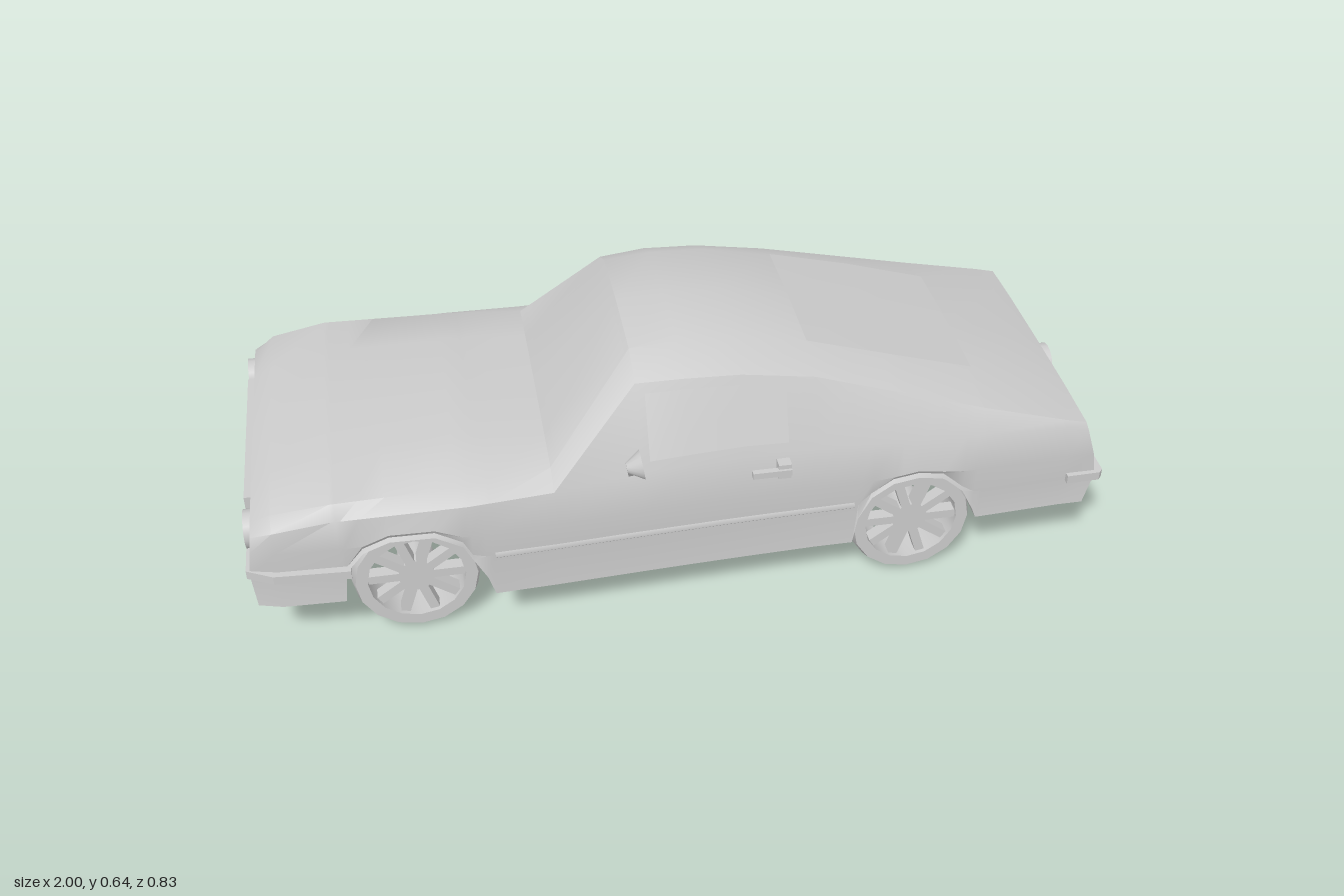
import * as THREE from 'three';
import { toCreasedNormals } from 'three/addons/utils/BufferGeometryUtils.js';

const mat = new THREE.MeshStandardMaterial({ color: 0xcccccc });

// Linear interpolation of table rows keyed by their first number
function sample(table, x) {
  let i = 1;
  while (i < table.length - 1 && table[i][0] < x) i++;
  const a = table[i - 1], b = table[i];
  const t = THREE.MathUtils.clamp((x - a[0]) / (b[0] - a[0]), 0, 1);
  return a.map((v, k) => v + (b[k] - v) * t);
}

// x, widest z, belt z, belt y, cantrail z, cantrail y, inner roof z, inner roof y, centre y
const KEYS = [
  [-0.985, 0.375, 0.365, 0.345, 0.33, 0.36, 0.2, 0.372, 0.375],
  [-0.93, 0.39, 0.385, 0.365, 0.35, 0.39, 0.2, 0.4, 0.402],
  [-0.8, 0.395, 0.385, 0.38, 0.36, 0.41, 0.2, 0.43, 0.432],
  [-0.5, 0.402, 0.39, 0.385, 0.35, 0.41, 0.2, 0.435, 0.438],
  [-0.31, 0.395, 0.38, 0.39, 0.32, 0.415, 0.2, 0.42, 0.422],
  [-0.11, 0.385, 0.365, 0.405, 0.27, 0.585, 0.19, 0.625, 0.632],
  [0, 0.38, 0.36, 0.41, 0.28, 0.592, 0.19, 0.635, 0.64],
  [0.13, 0.375, 0.355, 0.415, 0.28, 0.587, 0.19, 0.63, 0.637],
  [0.3, 0.37, 0.35, 0.41, 0.28, 0.56, 0.19, 0.595, 0.6],
  [0.5, 0.37, 0.355, 0.405, 0.3, 0.505, 0.2, 0.54, 0.545],
  [0.7, 0.37, 0.355, 0.4, 0.32, 0.45, 0.2, 0.48, 0.485],
  [0.9, 0.36, 0.345, 0.385, 0.335, 0.4, 0.2, 0.415, 0.418],
  [0.975, 0.36, 0.345, 0.37, 0.335, 0.388, 0.2, 0.397, 0.4],
];
// Lower edge with the two wheel arches
const EDGE = [
  [-0.985, 0.155], [-0.79, 0.155], [-0.78, 0.24], [-0.74, 0.29], [-0.68, 0.315], [-0.58, 0.315],
  [-0.52, 0.28], [-0.47, 0.18], [-0.455, 0.13], [0.39, 0.13], [0.4, 0.2], [0.43, 0.26], [0.48, 0.295],
  [0.54, 0.305], [0.6, 0.295], [0.65, 0.25], [0.68, 0.19], [0.69, 0.165], [0.975, 0.165],
];
const NOSE = [[0.155, -0.985], [0.24, -0.993], [0.375, -0.975]];
const TAIL = [[0.165, 0.96], [0.25, 0.985], [0.4, 0.945]];

// Cross-section of 13 points running from the left sill over the roof to the right sill
function section(x) {
  const [, wide, bz, by, cz, cy, iz, iy, top] = sample(KEYS, x);
  const y0 = sample(EDGE, x)[1];
  const y1 = Math.max(0.24, y0 + 0.01), y2 = Math.max(0.31, y1 + 0.01);
  const half = [[y0, wide], [y1, wide - 0.006], [y2, wide], [by, bz], [cy, cz], [iy, iz]];
  const ring = [...half, [top, 0], ...half.map(([y, z]) => [y, -z]).reverse()];
  return ring.map(([y, z]) => {
    const px = x <= -0.985 ? sample(NOSE, y)[1] : x >= 0.975 ? sample(TAIL, y)[1] : x;
    return new THREE.Vector3(px, y, z);
  });
}

// Skin over rows of points, optionally closed underneath and at both ends
function skin(rows, closed = false) {
  const n = rows[0].length, index = [];
  const quad = (a, b, c, d) => index.push(a, b, c, a, c, d);
  for (let i = 0; i < rows.length - 1; i++)
    for (let j = 0; j < (closed ? n : n - 1); j++) {
      const k = (j + 1) % n;
      quad(i * n + j, (i + 1) * n + j, (i + 1) * n + k, i * n + k);
    }
  if (closed) {
    const e = (rows.length - 1) * n;
    for (let j = 0; j < (n - 1) / 2; j++) {
      quad(e + j, e + n - 1 - j, e + n - 2 - j, e + j + 1);
      quad(j + 1, n - 2 - j, n - 1 - j, j);
    }
  }
  const g = new THREE.BufferGeometry().setFromPoints(rows.flat());
  g.setIndex(index);
  return toCreasedNormals(g, 0.6);
}

export function createModel() {
  const car = new THREE.Group();
  car.name = 'car';
  const add = (name, geo, x = 0, y = 0, z = 0, parent = car) => {
    const m = new THREE.Mesh(geo, mat);
    m.name = name;
    m.position.set(x, y, z);
    parent.add(m);
    return m;
  };
  const box = (w, h, d) => new THREE.BoxGeometry(w, h, d);
  const discX = (r, len, r2 = r) => new THREE.CylinderGeometry(r, r2, len, 16).rotateZ(-Math.PI / 2);

  // Body shell
  const xs = [...new Set([...KEYS, ...EDGE].map(r => r[0]))].sort((a, b) => a - b);
  add('body', skin(xs.map(section), true));

  // Glass panels lying just proud of the shell
  const over = (list, from, to, s) => skin(list.map(x => section(x).slice(from, to + 1)
    .map(p => new THREE.Vector3(p.x, p.y + 0.003, p.z * s))));
  add('windscreen', over([-0.295, -0.12], 4, 8, 0.94));
  add('rearWindow', over([0.3, 0.5, 0.7], 5, 7, 1));
  for (const s of [1, -1]) {
    const rows = [-0.09, 0, 0.13, 0.23].map(x => {
      const p = section(x);
      const pts = [0.12, 0.88].map(t => p[3].clone().lerp(p[4], t).add(new THREE.Vector3(0, 0.001, 0.002)));
      return s > 0 ? pts : pts.reverse().map(v => v.setZ(-v.z));
    });
    add('sideWindow', skin(rows));
  }

  // Bumpers: plan outlines wrapping round the corners
  const bumper = (name, outline, top, h) => {
    const pts = [...outline, ...outline.map(([x, z]) => [x, -z]).reverse()];
    const shape = new THREE.Shape(pts.map(p => new THREE.Vector2(...p)));
    const g = new THREE.ExtrudeGeometry(shape, { depth: h, bevelEnabled: false });
    add(name, g.rotateX(Math.PI / 2), 0, top, 0);
  };
  bumper('frontBumper', [[-0.975, 0.36], [-0.93, 0.385], [-0.77, 0.392], [-0.77, 0.41], [-0.94, 0.4], [-1, 0.37]], 0.255, 0.022);
  bumper('rearBumper', [[0.975, 0.345], [0.91, 0.35], [0.91, 0.368], [0.99, 0.366], [1, 0.355]], 0.256, 0.022);

  // Grille frame, bars and front lamps
  const frame = new THREE.Shape([[-0.23, -0.04], [0.23, -0.04], [0.23, 0.035], [-0.23, 0.035]].map(p => new THREE.Vector2(...p)));
  frame.holes.push(new THREE.Path([[-0.22, -0.03], [-0.22, 0.025], [0.22, 0.025], [0.22, -0.03]].map(p => new THREE.Vector2(...p))));
  const frameGeo = new THREE.ExtrudeGeometry(frame, { depth: 0.02, bevelEnabled: false });
  add('grilleFrame', frameGeo.rotateY(-Math.PI / 2), -0.974, 0.315, 0);
  for (let i = -1; i <= 1; i++) add('grilleBar', box(0.012, 0.005, 0.26), -0.983, 0.312 + i * 0.015, 0);
  add('frontPlate', box(0.015, 0.06, 0.24), -0.989, 0.185, 0);

  // Tail fittings
  add('fuelCap', discX(0.048, 0.03), 0.964, 0.325, 0);
  add('rearPlate', box(0.025, 0.062, 0.246), 0.967, 0.191, 0);

  for (const s of [1, -1]) {
    add('headlamp', discX(0.044, 0.025), -0.982, 0.315, s * 0.295);
    add('innerLamp', discX(0.028, 0.025), -0.983, 0.312, s * 0.175);

    // Waistline trim along the sill
    const line = [-0.45, -0.11, 0.13, 0.39].map(x => new THREE.Vector3(x, 0.24, s * (section(x)[1].z + 0.001)));
    add('sillTrim', new THREE.TubeGeometry(new THREE.CatmullRomCurve3(line), 8, 0.008, 4));

    // Door mirror
    const mirror = new THREE.Group();
    mirror.name = 'doorMirror';
    mirror.position.set(-0.13, 0.443, s * 0.383);
    mirror.rotation.z = 0.15;
    add('mirrorHead', discX(0.034, 0.035, 0.012), 0, 0, 0, mirror);
    add('mirrorArm', box(0.014, 0.05, 0.014), -0.01, -0.025, -s * 0.015, mirror).rotation.x = s * 0.6;
    car.add(mirror);

    // Door handle
    add('doorHandle', box(0.09, 0.016, 0.014), 0.185, 0.378, s * 0.381);
    add('handlePlate', box(0.03, 0.038, 0.03), 0.215, 0.378, s * 0.367);
  }

  // Wheels: tyre ring, hub and ten open spokes
  const profile = [[0.112, -0.05], [0.14, -0.05], [0.149, -0.025], [0.152, 0], [0.149, 0.025], [0.14, 0.05], [0.112, 0.05], [0.112, -0.05]];
  const tyre = toCreasedNormals(new THREE.LatheGeometry(profile.map(p => new THREE.Vector2(...p)), 16).rotateX(Math.PI / 2), 0.6);
  const hub = new THREE.CylinderGeometry(0.043, 0.043, 0.08, 12).rotateX(Math.PI / 2);
  const spoke = box(0.08, 0.022, 0.03).translate(0.076, 0, 0);
  for (const x of [-0.63, 0.54])
    for (const s of [1, -1]) {
      const wheel = new THREE.Group();
      wheel.name = x < 0 ? 'frontWheel' : 'rearWheel';
      wheel.position.set(x, 0.154, s * 0.296);
      add('tyre', tyre, 0, 0, 0, wheel);
      add('hub', hub, 0, 0, 0, wheel);
      for (let i = 0; i < 10; i++) add('spoke', spoke, 0, 0, s * 0.025, wheel).rotation.z = (i * Math.PI) / 5;
      car.add(wheel);
    }
  return car;
}
